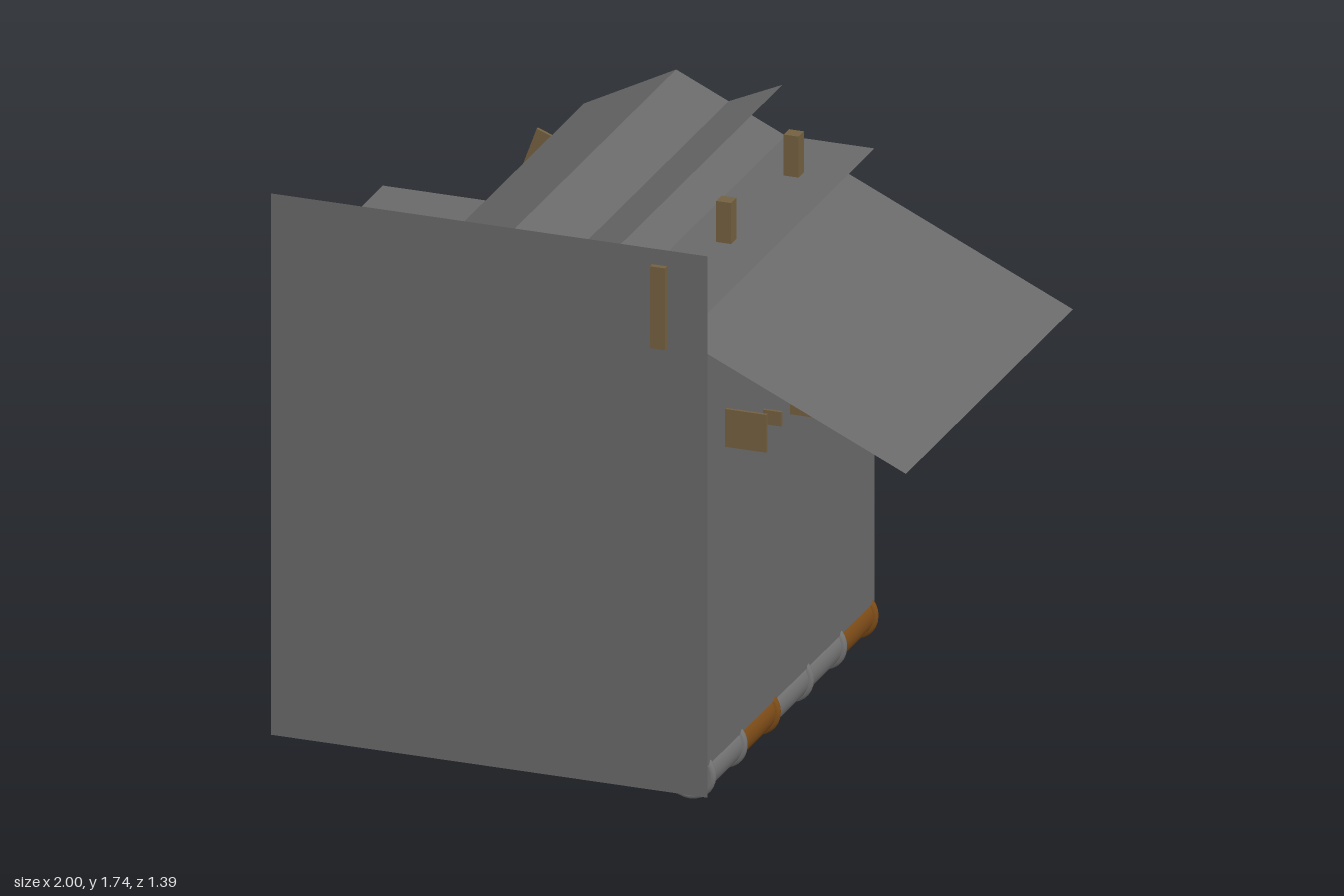
import * as THREE from 'three';

const D = THREE.DoubleSide;
const mat = (name, color, side = THREE.FrontSide) => {
  const m = new THREE.MeshStandardMaterial({ color, side });
  m.name = name;
  return m;
};

export function createModel() {
  const model = new THREE.Group();
  model.name = 'shack';
  const sheetGrey = mat('sheet grey', 0x696969, D);
  const pipeGrey = mat('pipe grey', 0x747474);
  const rust = mat('rust orange', 0x7f4d18);
  const wood = mat('wood brown', 0x736040);
  const Z0 = -0.695, Z1 = 0.68;

  const add = (name, geo, material, x = 0, y = 0, z = 0) => {
    const mesh = new THREE.Mesh(geo, material);
    mesh.name = name;
    mesh.position.set(x, y, z);
    model.add(mesh);
    return mesh;
  };

  // Flat polygon from corners in order
  const sheet = (name, corners) => {
    const geo = new THREE.BufferGeometry();
    geo.setAttribute('position', new THREE.Float32BufferAttribute(corners.flat(), 3));
    const index = [];
    for (let i = 1; i < corners.length - 1; i++) index.push(0, i, i + 1);
    geo.setIndex(index);
    geo.computeVertexNormals();
    add(name, geo, sheetGrey);
  };
  // Sheet running the full depth between two points of the section
  const roof = (name, [xa, ya], [xb, yb]) =>
    sheet(name, [[xa, ya, Z1], [xb, yb, Z1], [xb, yb, Z0], [xa, ya, Z0]]);

  // Walls and floor; the right wall and the floor stop at the base pipe
  sheet('frontWall', [[-1, 0.02, Z1], [0.375, 0.02, Z1], [0.375, 1.74, Z1], [-1, 1.74, Z1]]);
  roof('rightWall', [0.375, 0.12], [0.375, 1.43]);
  sheet('leftBackWall', [[-0.54, 0.02, Z0], [-0.54, 0.02, -0.24], [-0.54, 1.415, -0.24], [-0.54, 1.415, Z0]]);
  sheet('annexBackWall', [[-0.54, 0.02, -0.24], [-1, 0.02, -0.24], [-1, 1.415, -0.24], [-0.54, 1.415, -0.24]]);
  roof('mainFloor', [-0.54, 0.02], [0.28, 0.02]);
  for (const [name, y] of [['annexFloor', 0.02], ['annexRoof', 1.415]])
    sheet(name, [[-1, y, Z1], [-0.54, y, Z1], [-0.54, y, -0.24], [-1, y, -0.24]]);
  roof('annexRoofInner', [-0.54, 1.415], [-0.42, 1.415]);

  // Roof: left slope, long right slope with awning, raised flap, flat ceiling
  roof('roofLeft', [-0.54, 1.57], [-0.25, 1.72]);
  roof('roofRight', [-0.25, 1.72], [1, 1.14]);
  roof('roofFlap', [-0.085, 1.643], [0.085, 1.72]);
  roof('ceiling', [-0.54, 1.56], [0.375, 1.56]);

  // Pipes along z, in equal lengths with rounded collars at the joints
  const P0 = Z0, P1 = Z1 - 0.01;
  const rod = (name, r, z0, z1, material, x, y) => {
    const geo = new THREE.CylinderGeometry(r, r, z1 - z0, 28);
    geo.rotateX(Math.PI / 2);
    add(name, geo, material, x, y, (z0 + z1) / 2);
  };
  const pipe = (name, x, y, r, colours) => {
    const n = colours.length, step = (P1 - P0) / n, tube = r * 0.18;
    colours.forEach((c, i) => rod(name + 'Length', r * 0.86, P0 + i * step, P0 + (i + 1) * step, c, x, y));
    for (let i = 0; i <= n; i++) {
      const z = THREE.MathUtils.clamp(P0 + i * step, P0 + tube, P1 - tube);
      add(name + 'Collar', new THREE.TorusGeometry(r - tube, tube, 10, 28), colours[Math.min(i, n - 1)], x, y, z);
    }
  };
  const g = pipeGrey, o = rust;
  pipe('basePipe', 0.312, 0.081, 0.081, [o, g, g, o, g]);
  pipe('leftPipe', -0.48, 1.36, 0.05, [o, g, g, o, o, g, o, g]);
  pipe('innerPipe', 0.31, 1.11, 0.046, [g, g, g, g, g]);
  rod('upperPipe', 0.078, P0, P1, pipeGrey, 0.235, 1.36);
  rod('thinRail', 0.015, P0, P1, rust, 0.355, 0.995);

  // Posts through the roof and a batten on the front
  for (const z of [-0.425, 0.13, 0.668])
    add('roofPost', new THREE.BoxGeometry(0.047, 0.26, 0.045), wood, 0.224, 1.56, z);
  add('frontBatten', new THREE.BoxGeometry(0.047, 0.26, 0.02), wood, 0.224, 1.56, 0.688);

  // Bracket plates through the right wall: z, y low, y high, x outer
  for (const [z, y0, y1, x1] of [
    [0.53, 1.08, 1.2, 0.505], [-0.545, 1.08, 1.2, 0.505],
    [0.22, 1.035, 1.08, 0.433], [-0.47, 1.035, 1.08, 0.433], [-0.005, 0.98, 1.025, 0.452],
  ]) {
    const x0 = y1 > 1.1 ? 0.25 : 0.34;
    add('rightBracket', new THREE.BoxGeometry(x1 - x0, y1 - y0, 0.01), wood, (x0 + x1) / 2, (y0 + y1) / 2, z);
  }

  // Tilted bracket plates on the left
  for (const z of [0.523, -0.548])
    add('leftBracket', new THREE.BoxGeometry(0.142, 0.142, 0.01), wood, -0.589, 1.443, z).rotation.z = -0.35;

  return model;
}
